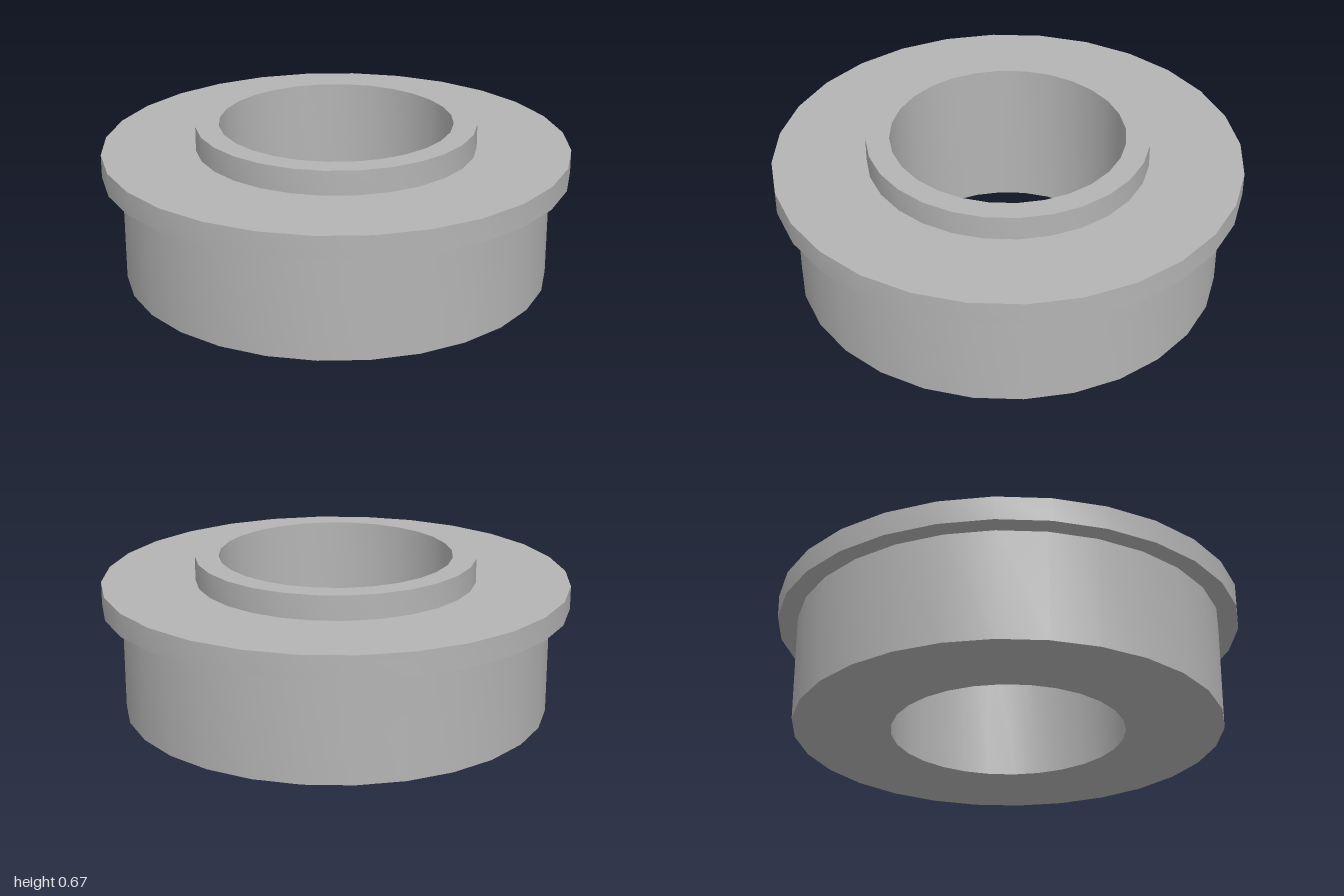
import * as THREE from 'three';
import { toCreasedNormals } from 'three/addons/utils/BufferGeometryUtils.js';

const SEGMENTS = 28;
const BORE = 0.5, COLLAR = 0.6, BODY = 0.915, FLANGE = 1;
const FLANGE_BOTTOM = 0.465, FLANGE_TOP = 0.565, TOP = 0.67;

export function createModel() {
  const group = new THREE.Group();
  group.name = 'flangedBushing';

  const metal = new THREE.MeshStandardMaterial({ color: 0xb4b4b4 });
  metal.name = 'grey metal';

  // Revolves a profile of [radius, height] pairs, keeping its corners sharp
  function addRing(name, profile) {
    const points = profile.map(([r, y]) => new THREE.Vector2(r, y));
    const geometry = toCreasedNormals(new THREE.LatheGeometry(points, SEGMENTS), 0.6);
    const mesh = new THREE.Mesh(geometry, metal);
    mesh.name = name;
    group.add(mesh);
  }

  // Lower body: bottom face and outer wall
  addRing('body', [[BORE, 0], [BODY, 0], [BODY, FLANGE_BOTTOM]]);

  // Flange: underside lip, rim and upper face
  addRing('flange', [
    [BODY, FLANGE_BOTTOM], [FLANGE, FLANGE_BOTTOM],
    [FLANGE, FLANGE_TOP], [COLLAR, FLANGE_TOP],
  ]);

  // Raised collar: outer wall and top face
  addRing('collar', [[COLLAR, FLANGE_TOP], [COLLAR, TOP], [BORE, TOP]]);

  // Through hole: wall facing the axis
  addRing('bore', [[BORE, TOP], [BORE, 0]]);

  return group;
}
